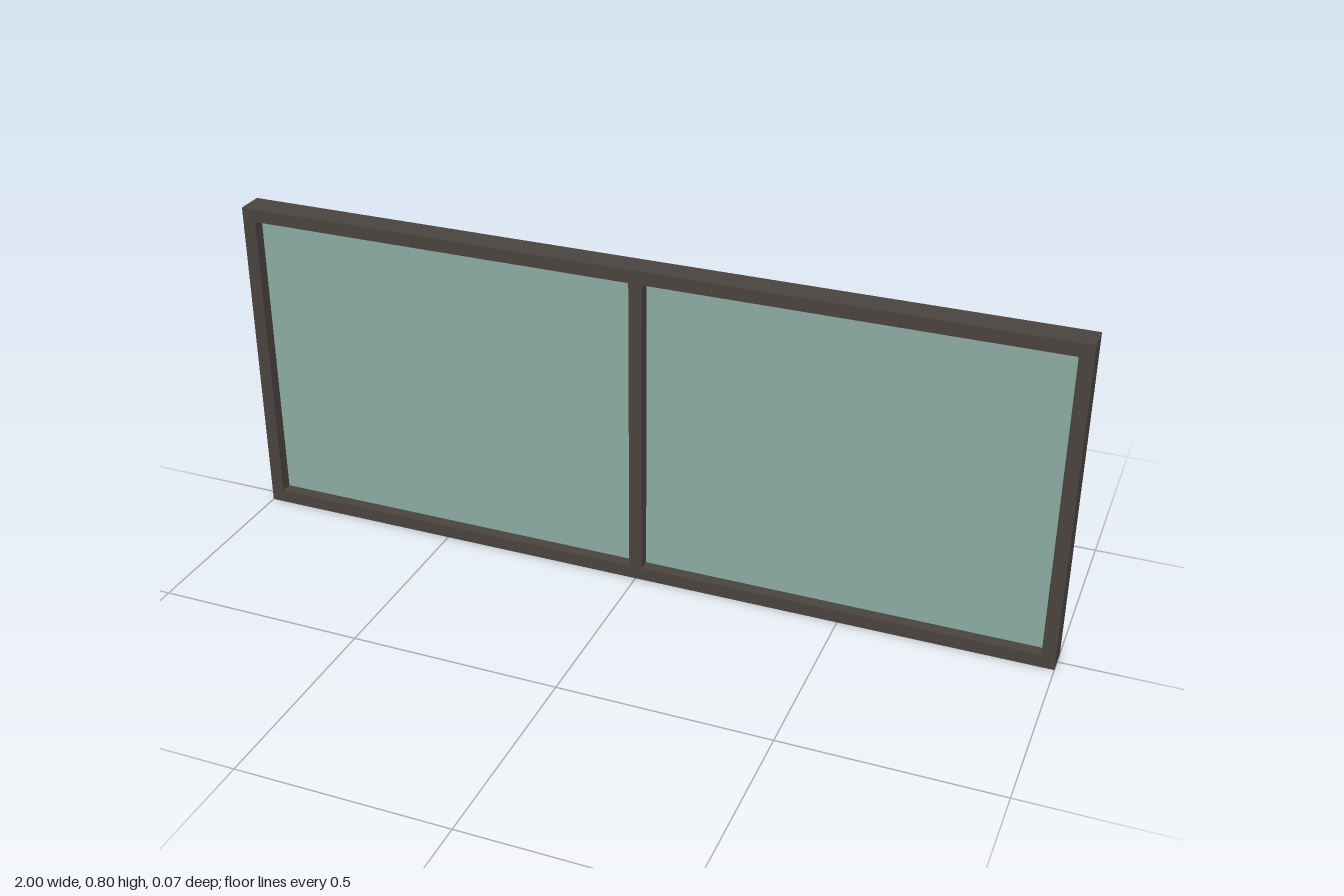
import * as THREE from 'three';

const W = 2, H = 0.8, D = 0.066, BAR = 0.032, GLASS = 0.008;

// Rectangular outline centred on (cx, cy)
function rect(target, cx, cy, w, h) {
  target.moveTo(cx - w / 2, cy - h / 2);
  target.lineTo(cx + w / 2, cy - h / 2);
  target.lineTo(cx + w / 2, cy + h / 2);
  target.lineTo(cx - w / 2, cy + h / 2);
  target.closePath();
  return target;
}

export function createModel() {
  const group = new THREE.Group();
  group.name = 'window';
  const frameMat = new THREE.MeshStandardMaterial({ color: 0x4b4441 });
  const glassMat = new THREE.MeshStandardMaterial({ color: 0x8cada4 });

  const paneW = (W - 3 * BAR) / 2, paneH = H - 2 * BAR;
  const paneX = (paneW + BAR) / 2;

  // Outer frame and central mullion: one slab with two openings
  const outline = rect(new THREE.Shape(), 0, H / 2, W, H);
  for (const side of [-1, 1]) {
    outline.holes.push(rect(new THREE.Path(), side * paneX, H / 2, paneW, paneH));
  }
  const frameGeo = new THREE.ExtrudeGeometry(outline, { depth: D, bevelEnabled: false });
  frameGeo.translate(0, 0, -D / 2);
  const frame = new THREE.Mesh(frameGeo, frameMat);
  frame.name = 'frame';
  group.add(frame);

  // Glass panes set at mid depth
  for (const side of [-1, 1]) {
    const pane = new THREE.Mesh(new THREE.BoxGeometry(paneW, paneH, GLASS), glassMat);
    pane.name = side > 0 ? 'leftPane' : 'rightPane';
    pane.position.set(side * paneX, H / 2, 0);
    group.add(pane);
  }
  return group;
}
